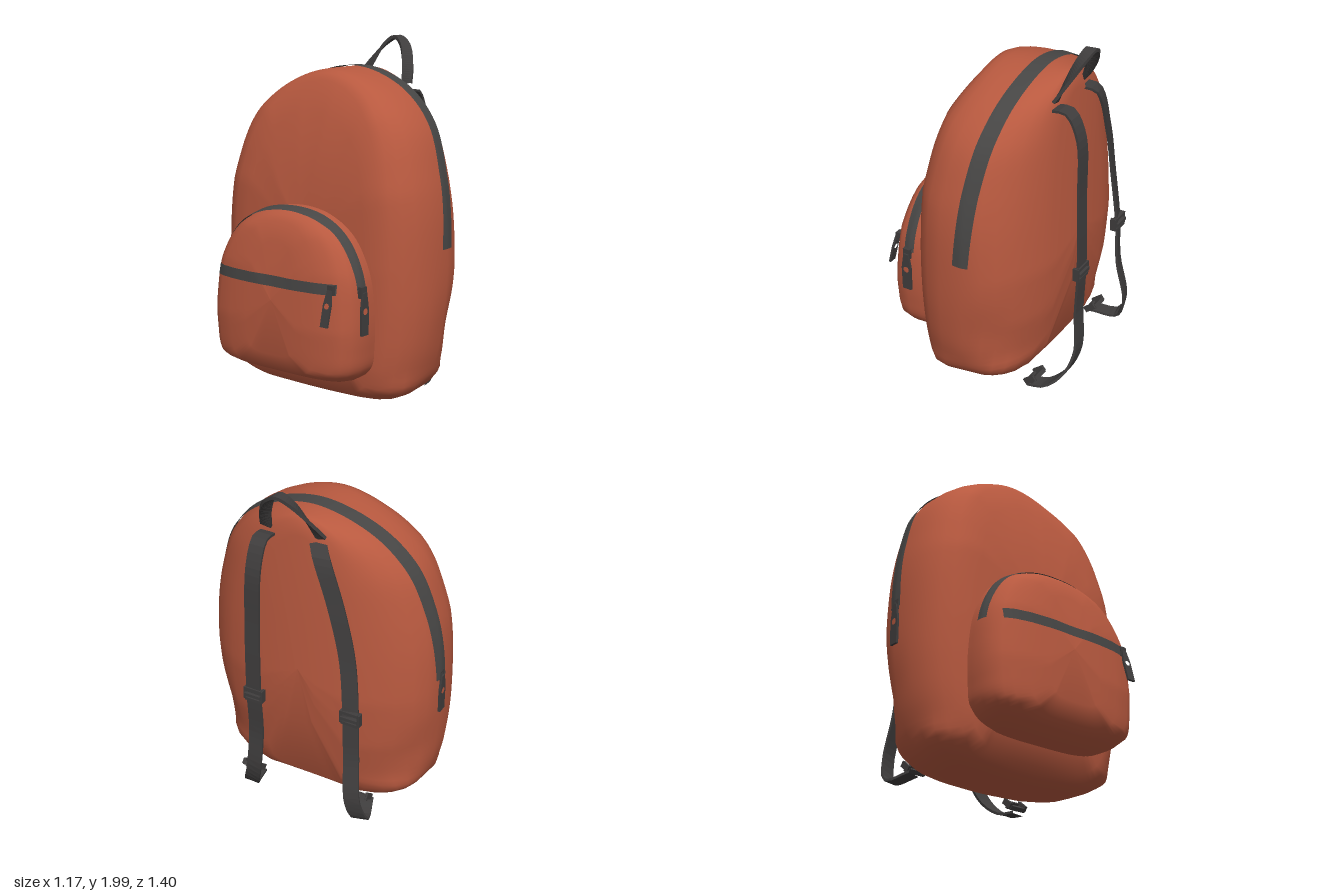
import * as THREE from 'three';

const mat = (name, color, side = THREE.FrontSide) => {
  const m = new THREE.MeshStandardMaterial({ color, side });
  m.name = name;
  return m;
};
const fabric = mat('rust fabric', 0xb8593f);
const zipTape = mat('zip tape grey', 0x474645, THREE.DoubleSide);
const webbing = mat('dark webbing', 0x3f3d3d);

const N = 144; // points round each outline
const lerp = THREE.MathUtils.lerp;
const mesh = (name, geo, m) => {
  const o = new THREE.Mesh(geo, m);
  o.name = name;
  return o;
};

// Piecewise linear lookup in [key, value, ...] rows
function lookup(rows, k, col = 1) {
  if (k <= rows[0][0]) return rows[0][col];
  for (let i = 1; i < rows.length; i++) {
    const [a, b] = [rows[i - 1], rows[i]];
    if (k <= b[0]) return lerp(a[col], b[col], (k - a[0]) / (b[0] - a[0] || 1));
  }
  return rows[rows.length - 1][col];
}

// Surface from a grid of points, optionally closed along each row
function gridGeometry(rows, closed) {
  const n = rows[0].length, index = [];
  for (let i = 0; i < rows.length - 1; i++)
    for (let j = 0; j < (closed ? n : n - 1); j++) {
      const k = (j + 1) % n;
      const a = i * n + j, b = i * n + k, c = a + n, d = b + n;
      index.push(a, b, c, b, d, c);
    }
  const g = new THREE.BufferGeometry();
  g.setAttribute('position', new THREE.Float32BufferAttribute(rows.flat(2), 3));
  g.setIndex(index);
  g.computeVertexNormals();
  return g;
}

// Soft bag volume: an arched (z, y) outline swept from front (-x) to back (+x)
function bag({ half, centre, front, back, rings, swell = () => 1 }) {
  const full = [...half, ...half.slice(1, -1).reverse().map(([z, y]) => [-z, y])];
  const curve = new THREE.CatmullRomCurve3(full.map(([z, y]) => new THREE.Vector3(0, y, z)), true);
  const outline = curve.getSpacedPoints(N).slice(0, N);
  const place = (p, sz, sy, t) => {
    const y = centre + (p.y - centre) * sy;
    const x = lerp(lookup(front, y), lookup(back, y), t);
    return [x, y, p.z * sz * swell(x, y)];
  };
  const geometry = gridGeometry(rings.map(([t, sz, sy]) => outline.map(p => place(p, sz, sy, t))), true);
  // Zip tape laid over the arch, down to minY on both sides
  const tape = (minY, width, centreX, lift) => {
    let m = 0;
    while (outline[m + 1].y > minY) m++;
    const rows = [];
    for (let i = 0; i <= 6; i++) {
      const row = [];
      for (let j = -m; j <= m; j++) {
        const p = outline[(j + N) % N];
        const x = centreX(p.y) + width * (i / 6 - 0.5);
        const f = lookup(front, p.y), t = (x - f) / (lookup(back, p.y) - f);
        row.push(place(p, lookup(rings, t, 1) * lift, lookup(rings, t, 2) * lift, t));
      }
      rows.push(row);
    }
    return gridGeometry(rows, false);
  };
  return { geometry, tape };
}

// Flat webbing along a path; widthAt gives the direction across the band
function band(points, width, widthAt, thick = 0.014) {
  const curve = new THREE.CatmullRomCurve3(points.map(p => new THREE.Vector3(...p)));
  const rows = [], steps = 48;
  for (let i = 0; i <= steps; i++) {
    const c = curve.getPointAt(i / steps), t = curve.getTangentAt(i / steps);
    const w = widthAt(i / steps);
    w.addScaledVector(t, -w.dot(t)).normalize();
    const n = new THREE.Vector3().crossVectors(t, w);
    rows.push([[-1, -1], [1, -1], [1, 1], [-1, 1]].map(([a, b]) =>
      c.clone().addScaledVector(w, a * width / 2).addScaledVector(n, b * thick / 2).toArray()));
  }
  const g = gridGeometry(rows, true).toNonIndexed();
  g.computeVertexNormals();
  return g;
}

// Rectangular strap buckle
function buckle(pos, tilt = 0) {
  const g = new THREE.Group();
  g.name = 'strapBuckle';
  for (const s of [-1, 0, 1]) {
    const bar = mesh('buckleBar', new THREE.BoxGeometry(0.025, 0.018, 0.1), webbing);
    bar.position.set(s ? 0.008 : 0.016, s * 0.033, 0);
    g.add(bar);
  }
  for (const s of [-1, 1]) {
    const end = mesh('buckleEnd', new THREE.BoxGeometry(0.035, 0.075, 0.016), webbing);
    end.position.z = s * 0.052;
    g.add(end);
  }
  g.position.set(...pos);
  g.rotation.z = tilt;
  return g;
}

// Zip slider with a hanging pierced tab, facing local +z
function zipPull(name, pos, ry, tilt = 0, size = 1) {
  const g = new THREE.Group();
  g.name = name;
  const slider = mesh('zipSlider', new THREE.BoxGeometry(0.045, 0.06, 0.035), webbing);
  const s = new THREE.Shape([[-0.015, 0], [0.015, 0], [0.03, -0.09], [0.028, -0.23], [-0.028, -0.23], [-0.03, -0.09]]
    .map(p => new THREE.Vector2(...p)));
  s.holes.push(new THREE.Path().absarc(0, -0.1, 0.018, 0, Math.PI * 2, true));
  const tab = mesh('zipTab', new THREE.ExtrudeGeometry(s, { depth: 0.014, bevelEnabled: false }), webbing);
  tab.position.z = 0.012;
  tab.rotation.x = tilt;
  g.add(slider, tab);
  g.position.set(...pos);
  g.rotation.y = ry;
  g.scale.setScalar(size);
  return g;
}

export function createModel() {
  const model = new THREE.Group();
  model.name = 'backpack';

  // Main compartment, hollowed low on the flanks above its squarer bottom corners
  const bump = (x, y, cx, cy, rx, ry) => Math.exp(-(((x - cx) / rx) ** 2) - ((y - cy) / ry) ** 2);
  const body = bag({
    half: [[0, 1.835], [0.2, 1.8], [0.4, 1.7], [0.55, 1.54], [0.64, 1.3], [0.68, 1.1], [0.695, 0.8],
      [0.685, 0.5], [0.645, 0.27], [0.58, 0.13], [0.45, 0.05], [0.2, 0.025], [0, 0.02]],
    centre: 0.93,
    front: [[0.03, -0.17], [0.06, -0.22], [0.12, -0.285], [0.25, -0.3], [0.8, -0.3], [1.2, -0.285], [1.4, -0.25],
      [1.6, -0.205], [1.75, -0.135], [1.83, -0.11]],
    back: [[0.03, 0.24], [0.08, 0.31], [0.2, 0.375], [0.5, 0.43], [0.8, 0.45], [1.2, 0.43], [1.5, 0.415], [1.83, 0.4]],
    rings: [[0, 0, 0], [0, 0.35, 0.4], [0.012, 0.6, 0.76], [0.03, 0.73, 0.935], [0.07, 0.81, 0.975], [0.13, 0.885, 0.99],
      [0.21, 0.945, 0.997], [0.34, 0.99, 1], [0.53, 1, 1], [0.67, 0.965, 1], [0.76, 0.89, 0.996], [0.84, 0.78, 0.99],
      [0.9, 0.67, 0.985], [0.95, 0.52, 0.972], [0.98, 0.38, 0.88], [1, 0.15, 0.4], [1, 0, 0]],
    swell: (x, y) => 1 - 0.05 * bump(x, y, 0.22, 0.45, 0.1, 0.18) + 0.2 * bump(x, y, 0.3, 0.11, 0.11, 0.11)
      + 0.08 * bump(x, y, -0.15, 0.09, 0.12, 0.1),
  });
  model.add(mesh('mainCompartment', body.geometry, fabric));
  const zipX = [[0.88, 0.09], [1.3, 0.125], [1.7, 0.175], [1.83, 0.195]];
  model.add(mesh('mainZip', body.tape(0.86, 0.092, y => lookup(zipX, y), 1.008), zipTape));

  // Front pocket
  const pocket = bag({
    half: [[0, 1.11], [0.2, 1.08], [0.36, 0.98], [0.46, 0.81], [0.495, 0.6], [0.495, 0.4], [0.47, 0.27], [0.37, 0.2], [0, 0.175]],
    centre: 0.63,
    front: [[0.17, -0.42], [0.22, -0.51], [0.26, -0.565], [0.5, -0.57], [0.8, -0.545], [1, -0.505], [1.1, -0.46]],
    back: [[0.17, -0.17], [1.1, -0.2]],
    rings: [[0, 0, 0], [0.01, 0.35, 0.66], [0.04, 0.6, 0.87], [0.1, 0.8, 0.93], [0.17, 0.89, 0.965],
      [0.26, 0.96, 0.985], [0.45, 1, 1], [0.65, 0.99, 1], [1, 0.97, 0.99]],
  });
  const pocketMesh = mesh('frontPocket', pocket.geometry, fabric);
  model.add(pocketMesh);
  model.add(mesh('pocketZip', pocket.tape(0.71, 0.065, () => -0.385, 1.014), zipTape));

  // Zip across the pocket face, projected onto its surface
  const ray = new THREE.Raycaster();
  const rows = [0.706, 0.735, 0.764].map(y => {
    const row = [];
    for (let i = 0; i <= 28; i++) {
      const z = -0.43 + 0.03 * i;
      ray.set(new THREE.Vector3(-2, y, z), new THREE.Vector3(1, 0, 0));
      row.push([ray.intersectObject(pocketMesh)[0].point.x - 0.007, y, z]);
    }
    return row;
  });
  model.add(mesh('pocketFaceZip', gridGeometry(rows, false), zipTape));

  // Zip pulls
  model.add(zipPull('pocketZipPull', [-0.39, 0.715, 0.485], 0));
  model.add(zipPull('mainZipPull', [0.085, 0.91, -0.68], Math.PI));
  model.add(zipPull('pocketFaceZipPull', [-0.515, 0.735, 0.385], -Math.PI / 2, -0.25, 0.85));

  // Shoulder straps
  const acrossZ = () => new THREE.Vector3(0, 0, 1);
  model.add(mesh('shoulderStrapPlusZ', band([[0.38, 1.69, 0.2], [0.46, 1.69, 0.2], [0.53, 1.56, 0.2], [0.55, 1.2, 0.21],
    [0.56, 0.77, 0.21], [0.55, 0.5, 0.21], [0.56, 0.24, 0.23], [0.51, 0.1, 0.28], [0.42, 0.025, 0.33], [0.32, 0.015, 0.35]],
  0.088, acrossZ), webbing));
  model.add(mesh('shoulderStrapMinusZ', band([[0.38, 1.71, -0.1], [0.44, 1.67, -0.15], [0.46, 1.4, -0.25], [0.465, 1.1, -0.32],
    [0.49, 0.77, -0.355], [0.5, 0.5, -0.365], [0.54, 0.22, -0.395], [0.48, 0.08, -0.42], [0.33, 0.1, -0.37]],
  0.088, () => new THREE.Vector3(0.3, 0, 1)), webbing));
  model.add(buckle([0.555, 0.76, 0.21]), buckle([0.49, 0.76, -0.355]));
  model.add(buckle([0.36, 0.075, 0.36], -0.9), buckle([0.36, 0.14, -0.35], -0.9));

  // Carry handle, half twisted over its arch
  model.add(mesh('carryHandle', band([[0.38, 1.73, 0.21], [0.43, 1.84, 0.18], [0.48, 1.95, 0.12], [0.495, 1.988, 0.055],
    [0.48, 1.95, -0.01], [0.43, 1.84, -0.08], [0.38, 1.74, -0.12]],
  0.062, t => new THREE.Vector3(Math.sin(Math.PI * t), 0, Math.cos(Math.PI * t)), 0.018), webbing));

  return model;
}
